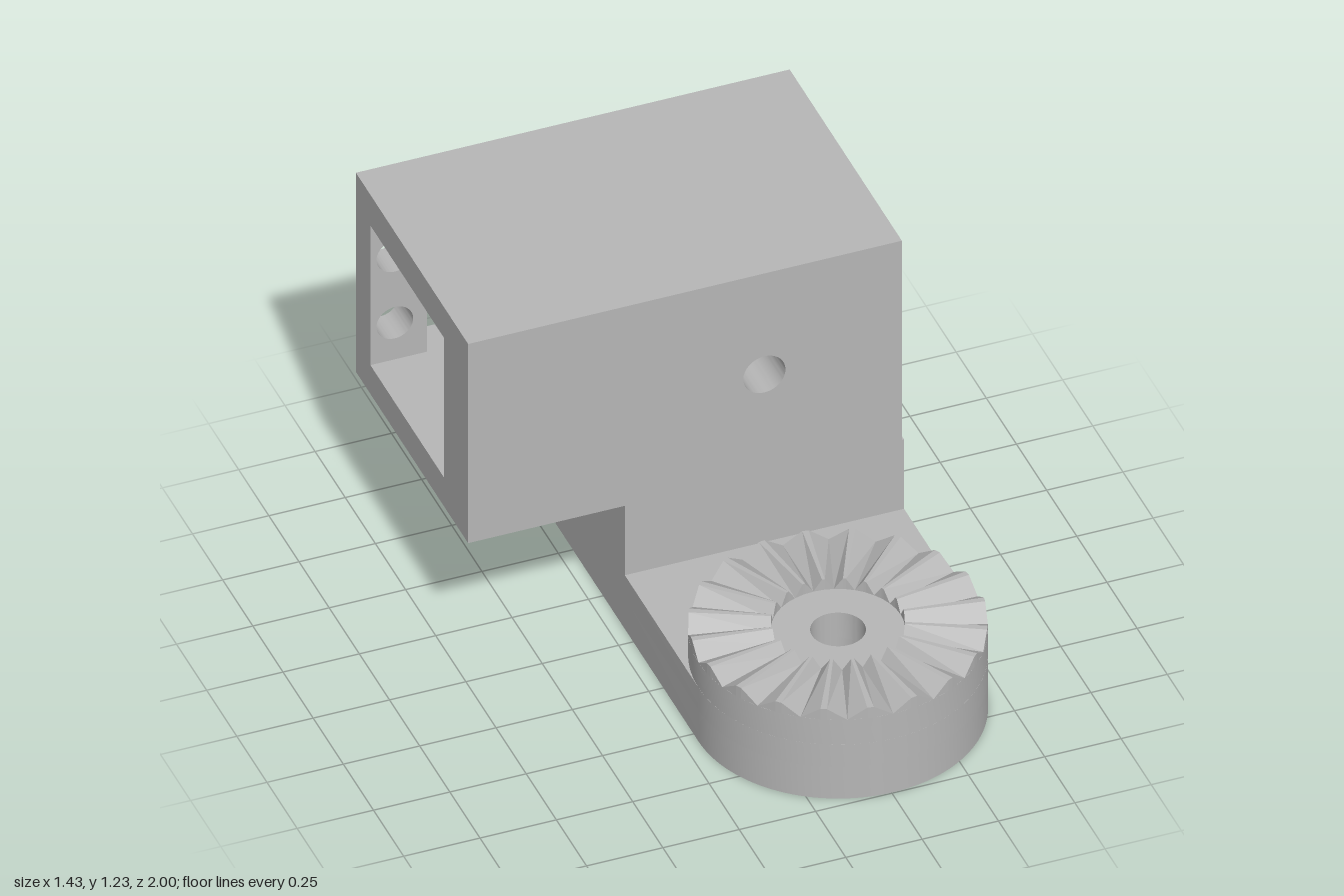
import * as THREE from 'three';
import { toCreasedNormals } from 'three/addons/utils/BufferGeometryUtils.js';

const CX = 0.255, CZ = 0.54, R = 0.457;   // axis and radius of the toothed joint
const X0 = -0.715, X1 = 0.705;            // housing ends
const Y0 = 0.47, Y1 = 1.23;               // housing bottom and top
const BACK = -1, FRONT = -0.07;
const IN_BACK = -0.88, IN_FRONT = -0.27;  // cavity
const IN_Y0 = 0.58, IN_Y1 = 1.113;

const rect = (x0, y0, x1, y1, Type = THREE.Shape) =>
  new Type([[x0, y0], [x1, y0], [x1, y1], [x0, y1]].map(p => new THREE.Vector2(...p)));

const circle = (x, y, r, Type = THREE.Path) => {
  const c = new Type();
  c.absarc(x, y, r, 0, Math.PI * 2, false);
  return c;
};

export function createModel() {
  const group = new THREE.Group();
  const grey = new THREE.MeshStandardMaterial({ color: 0xb6b6b6 });
  grey.name = 'plain grey';

  const add = (name, geometry) => {
    const mesh = new THREE.Mesh(geometry, grey);
    mesh.name = name;
    group.add(mesh);
  };
  const extrude = (shape, holes, depth) => {
    shape.holes.push(...holes);
    return toCreasedNormals(
      new THREE.ExtrudeGeometry(shape, { depth, bevelEnabled: false, curveSegments: 32 }), 0.5);
  };
  // plan shapes are drawn in (x, -z) and extruded upward
  const layer = (name, shape, holes, y0, y1) =>
    add(name, extrude(shape, holes, y1 - y0).rotateX(-Math.PI / 2).translate(0, y0, 0));
  // elevation shapes are drawn in (x, y) and extruded along z
  const wall = (name, shape, holes, z0, z1) =>
    add(name, extrude(shape, holes, z1 - z0).translate(0, 0, z0));
  const box = (name, x0, x1, y0, y1, z0, z1) =>
    add(name, new THREE.BoxGeometry(x1 - x0, y1 - y0, z1 - z0)
      .translate((x0 + x1) / 2, (y0 + y1) / 2, (z0 + z1) / 2));

  // Arm with rounded end, nut pocket below and bolt hole above
  const armPlan = () => {
    const s = new THREE.Shape();
    s.moveTo(CX + R, -BACK);
    s.lineTo(CX - R, -BACK);
    s.lineTo(CX - R, -CZ);
    s.absarc(CX, -CZ, R, Math.PI, Math.PI * 2, false);
    s.closePath();
    return s;
  };
  const nut = new THREE.Path(Array.from({ length: 6 }, (_, i) => new THREE.Vector2(
    CX + 0.152 * Math.cos(i * Math.PI / 3), -CZ + 0.152 * Math.sin(i * Math.PI / 3))));
  const bolt = () => circle(CX, -CZ, 0.085);
  layer('armWithNutPocket', armPlan(), [nut], 0, 0.12);
  layer('armUpper', armPlan(), [bolt()], 0.12, 0.205);
  layer('jointDisc', circle(CX, -CZ, R, THREE.Shape), [bolt()], 0.205, 0.3);
  add('jointTeeth', teeth(20, 0.205, R, 0.3, 0.34));

  // Pedestal under the housing
  box('pedestal', CX - R, CX + R, 0.205, Y0, BACK, FRONT);

  // Housing: open at both ends, window and screw holes at the back
  wall('housingFront', rect(X0, Y0, X1, Y1), [circle(CX, 0.845, 0.069)], IN_FRONT, FRONT);
  const screws = [0.62, -0.635].flatMap(x => [0.975, 0.72].map(y => circle(x, y, 0.06)));
  wall('housingBack', rect(X0, Y0, X1, Y1),
    [rect(-0.53, IN_Y0, 0.515, IN_Y1, THREE.Path), ...screws], BACK, IN_BACK);
  box('housingRoof', X0, X1, IN_Y1, Y1, IN_BACK, IN_FRONT);
  box('housingFloor', X0, X1, Y0, IN_Y0, IN_BACK, IN_FRONT);

  return group;
}

// Ring of radial ridges with narrow flat crests
function teeth(count, rIn, rOut, low, high) {
  const pos = [];
  const pt = (r, a, y) => [CX + r * Math.sin(a), y, CZ + r * Math.cos(a)];
  const quad = (a, b, c, d) => pos.push(...a, ...b, ...c, ...a, ...c, ...d);
  const profile = [[0, low], [0.43, high], [0.57, high], [1, low]];
  const pitch = Math.PI * 2 / count;
  for (let i = 0; i < count; i++) {
    for (let k = 0; k < 3; k++) {
      const a0 = (i + profile[k][0]) * pitch, y0 = profile[k][1];
      const a1 = (i + profile[k + 1][0]) * pitch, y1 = profile[k + 1][1];
      quad(pt(rOut, a0, y0), pt(rOut, a1, y1), pt(rIn, a1, y1), pt(rIn, a0, y0));
      quad(pt(rOut, a0, low), pt(rOut, a1, low), pt(rOut, a1, y1), pt(rOut, a0, y0));
      quad(pt(rIn, a1, low), pt(rIn, a0, low), pt(rIn, a0, y0), pt(rIn, a1, y1));
    }
  }
  const g = new THREE.BufferGeometry();
  g.setAttribute('position', new THREE.Float32BufferAttribute(pos, 3));
  g.computeVertexNormals();
  return g;
}
